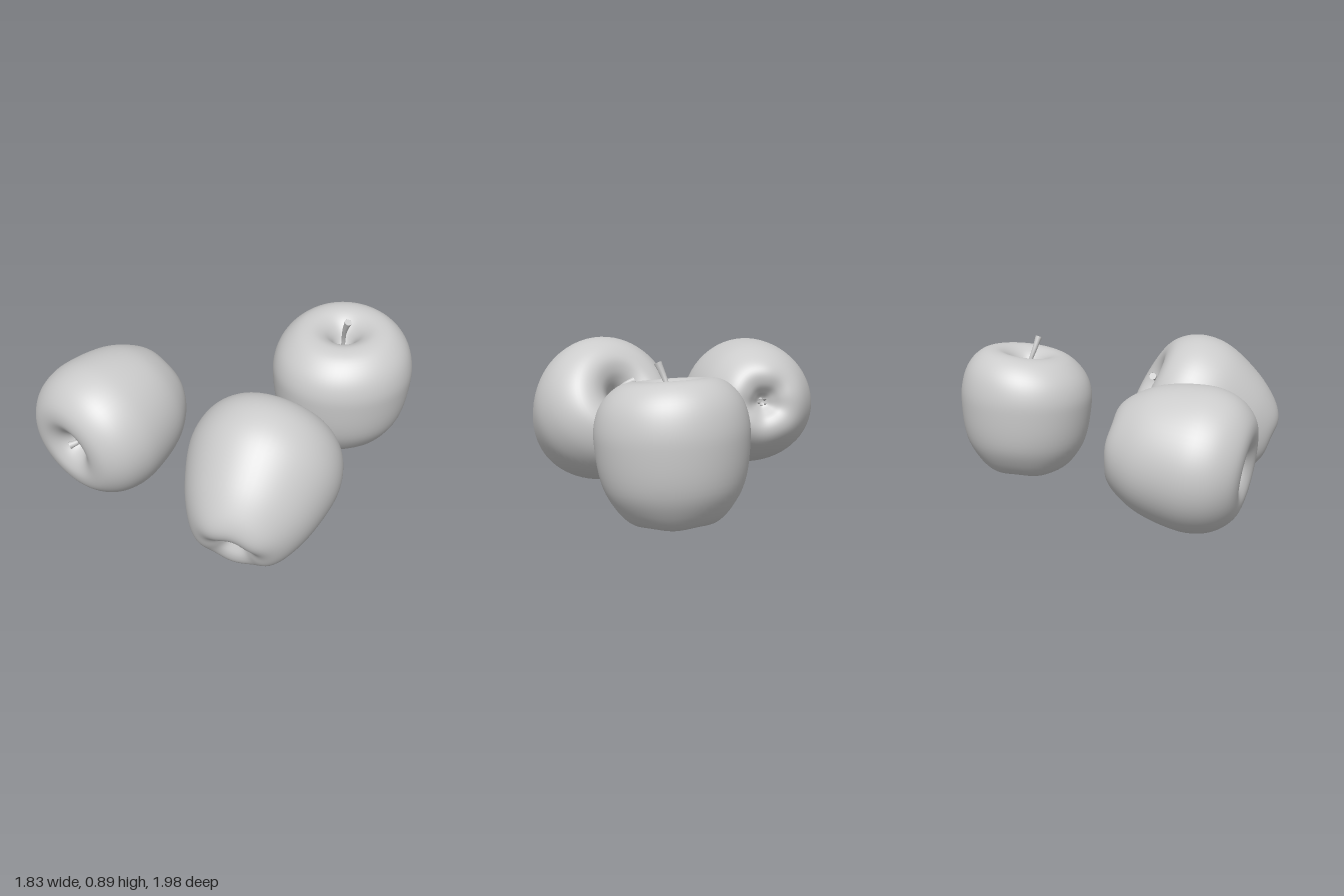
import * as THREE from 'three';
import { mergeVertices } from 'three/addons/utils/BufferGeometryUtils.js';

const skin = new THREE.MeshStandardMaterial({ color: 0xcccccc });
const thin = new THREE.MeshStandardMaterial({ color: 0xcccccc, side: THREE.DoubleSide });

// Half section of an apple (radius, height) from the calyx hollow to the stem hollow
const PROFILE = [
  [0, -0.35], [0.03, -0.36], [0.065, -0.395], [0.11, -0.435], [0.17, -0.45], [0.23, -0.425],
  [0.29, -0.355], [0.355, -0.23], [0.41, -0.06], [0.428, 0.07], [0.408, 0.19], [0.36, 0.28],
  [0.285, 0.345], [0.2, 0.362], [0.13, 0.335], [0.08, 0.285], [0.04, 0.22], [0, 0.19],
];

function named(name, object) {
  object.name = name;
  return object;
}

// Body: lathe with soft lobes at the calyx, a gentle wobble and a slanted crown
function appleBody({ girth, length, widen, lobes, phase, slant }) {
  const curve = new THREE.SplineCurve(PROFILE.map(([r, y]) => new THREE.Vector2(r, y)));
  const pts = curve.getPoints(70);
  pts.forEach((p) => { p.x = Math.max(p.x, 0); });
  pts[0].x = pts[pts.length - 1].x = 0;
  let geo = new THREE.LatheGeometry(pts, 64);
  geo.deleteAttribute('uv');
  geo.deleteAttribute('normal');
  const pos = geo.attributes.position;
  for (let i = 0; i < pos.count; i++) {
    const x = pos.getX(i), y = pos.getY(i), z = pos.getZ(i);
    const a = Math.atan2(x, z) + phase;
    const lower = THREE.MathUtils.smoothstep(-y, -0.05, 0.3);
    const base = THREE.MathUtils.smoothstep(-y, 0.1, 0.45);
    const high = THREE.MathUtils.smoothstep(y, 0, 0.37);
    const k = girth * (1 + widen * lower + 0.012 * Math.cos(3 * a) + 0.012 * Math.cos(2 * a + 1)
      + lobes * base * Math.cos(5 * a));
    const lift = high * (slant[0] * x + slant[1] * z)
      + base * 0.025 * Math.hypot(x, z) * Math.cos(5 * a);
    pos.setXYZ(i, x * k, (y + lift) * length, z * k);
  }
  geo = mergeVertices(geo, 1e-5);
  geo.computeVertexNormals();
  return named('appleBody', new THREE.Mesh(geo, skin));
}

// Stem: bent tube that flares towards its cut end
function appleStem({ stem }) {
  const path = new THREE.CatmullRomCurve3(stem.map((p) => new THREE.Vector3(...p)));
  const rings = 14, sides = 10;
  const geo = new THREE.TubeGeometry(path, rings, 0.013, sides, false);
  const pos = geo.attributes.position;
  const v = new THREE.Vector3();
  for (let i = 0; i < pos.count; i++) {
    const t = Math.floor(i / (sides + 1)) / rings;
    const c = path.getPointAt(t);
    v.fromBufferAttribute(pos, i).sub(c).multiplyScalar(0.9 + 0.75 * t * t * t).add(c);
    pos.setXYZ(i, v.x, v.y, v.z);
  }
  geo.computeVertexNormals();
  const group = named('stem', new THREE.Group());
  group.add(named('stemStalk', new THREE.Mesh(geo, thin)));
  // Cut end
  const cap = named('stemCutEnd', new THREE.Mesh(new THREE.CircleGeometry(0.0214, sides), thin));
  cap.position.copy(path.getPointAt(1));
  cap.quaternion.setFromUnitVectors(new THREE.Vector3(0, 0, 1), path.getTangentAt(1));
  group.add(cap);
  return group;
}

// Calyx: ring of dried sepals inside the lower hollow
function appleCalyx({ length }) {
  const group = named('calyx', new THREE.Group());
  for (let i = 0; i < 5; i++) {
    const arm = named('sepalArm', new THREE.Group());
    const sepal = named('sepal', new THREE.Mesh(new THREE.ConeGeometry(0.014, 0.06, 6), skin));
    sepal.scale.z = 0.5;
    sepal.position.set(0, -0.375 * length, 0.022);
    sepal.rotation.x = Math.PI - 0.1 + 0.15 * (i % 3);
    arm.rotation.y = (i * Math.PI * 2) / 5;
    arm.add(sepal);
    group.add(arm);
  }
  return group;
}

// One apple, its stem pointing along axis and its body centred on center
function apple(spec) {
  const group = named(spec.name, new THREE.Group());
  group.quaternion.setFromUnitVectors(
    new THREE.Vector3(0, 1, 0), new THREE.Vector3(...spec.axis).normalize());
  const body = appleBody(spec);
  group.add(body, appleStem(spec), appleCalyx(spec));
  group.updateMatrixWorld(true);
  const middle = new THREE.Box3().setFromObject(body, true).getCenter(new THREE.Vector3());
  group.position.set(...spec.center).sub(middle);
  return group;
}

const APPLES = [
  {
    name: 'uprightApple', axis: [0.02, 1, 0.03], center: [0.445, 0.39, -0.578],
    girth: 0.965, length: 0.93, widen: 0.1, lobes: 0.01, phase: 0.4, slant: [0, -0.09],
    stem: [[0, 0.16, 0], [0.005, 0.27, 0.015], [0.02, 0.35, 0.04], [0.045, 0.425, 0.06]],
  },
  {
    name: 'lyingApple', axis: [-0.17, -0.13, 0.98], center: [-0.515, 0.428, 0.467],
    girth: 0.945, length: 0.92, widen: 0.06, lobes: 0.015, phase: 1.3, slant: [0.02, 0],
    stem: [[0, 0.16, 0], [-0.005, 0.21, 0], [-0.015, 0.255, 0.005], [-0.04, 0.29, 0.01]],
  },
  {
    name: 'tiltedApple', axis: [-0.12, 0.49, -0.86], center: [0.478, 0.438, 0.53],
    girth: 1, length: 1, widen: 0, lobes: 0.01, phase: 2.2, slant: [0, 0],
    stem: [[0, 0.16, 0], [0.01, 0.27, 0.02], [-0.02, 0.35, 0.04], [-0.07, 0.37, 0.06]],
  },
];

export function createModel() {
  const model = named('threeApples', new THREE.Group());
  APPLES.forEach((spec) => model.add(apple(spec)));
  return model;
}
